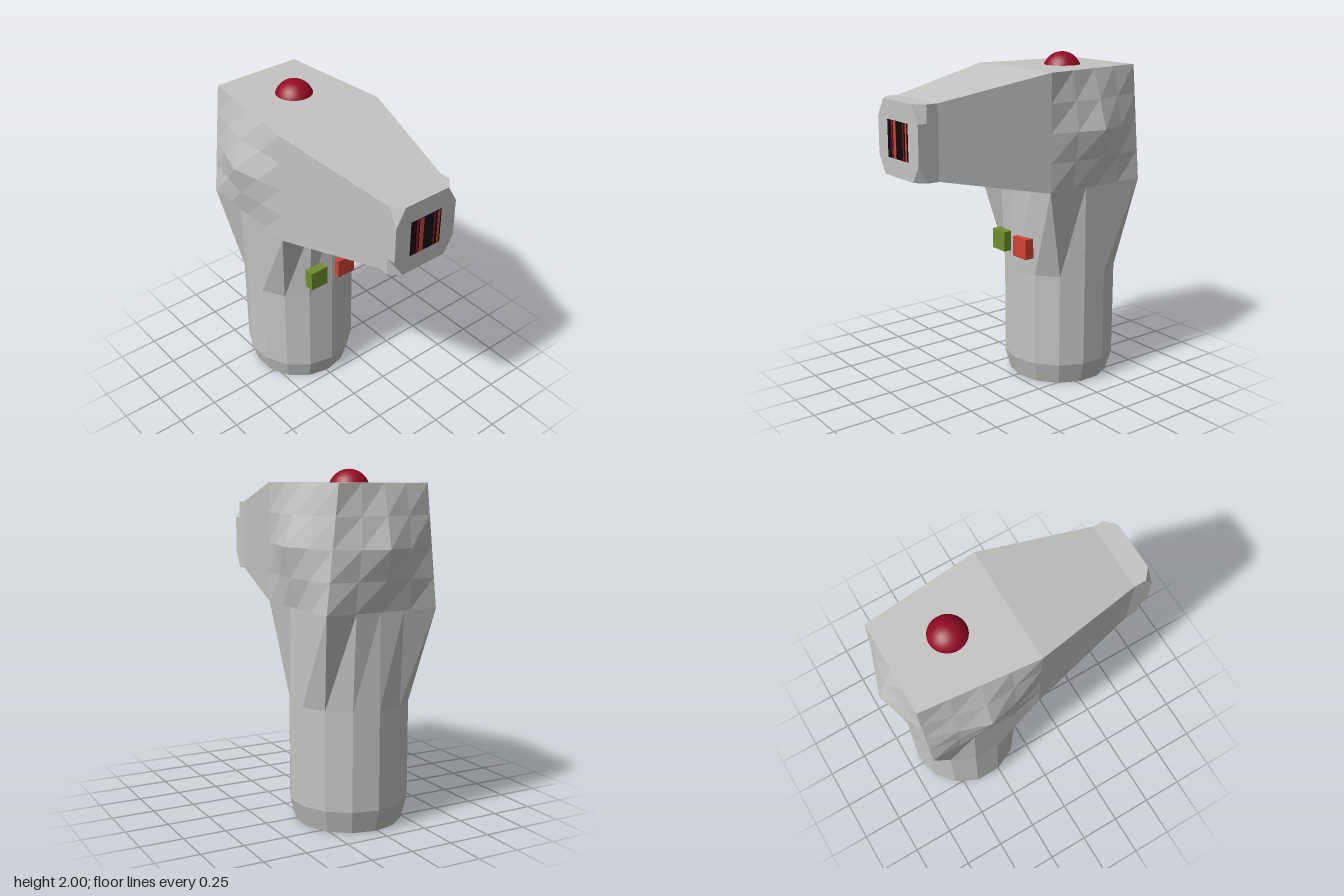
import * as THREE from 'three';

const grey = new THREE.MeshStandardMaterial({ color: 0xc4c4c2 }); grey.name = 'shell grey';
const crimson = new THREE.MeshStandardMaterial({ color: 0x940a24 }); crimson.name = 'crimson';
const red = new THREE.MeshStandardMaterial({ color: 0xd04234 }); red.name = 'button red';
const green = new THREE.MeshStandardMaterial({ color: 0x6e8e2e }); green.name = 'button green';
const black = new THREE.MeshStandardMaterial({ color: 0x0c0c0c }); black.name = 'aperture black';

const CX = 0.015, CZ = -0.343, HALF = 0.345, BACK = -0.685, BASE = 1.24, TOP = 1.925;

// Flat-faceted geometry from a list of corner points, three per triangle
function facets(points) {
  const g = new THREE.BufferGeometry();
  g.setAttribute('position', new THREE.Float32BufferAttribute(points.flat(), 3));
  g.computeVertexNormals();
  return g;
}

// Skin through rings of equal length, with optional flat caps
function loft(rings, capStart, capEnd) {
  const pts = [], n = rings[0].length;
  for (let r = 0; r < rings.length - 1; r++) {
    for (let i = 0; i < n; i++) {
      const j = (i + 1) % n, a = rings[r], b = rings[r + 1];
      pts.push(a[i], a[j], b[j], a[i], b[j], b[i]);
    }
  }
  const first = rings[0], last = rings[rings.length - 1];
  for (let i = 1; i < n - 1; i++) {
    if (capStart) pts.push(first[0], first[i + 1], first[i]);
    if (capEnd) pts.push(last[0], last[i], last[i + 1]);
  }
  return facets(pts);
}

// Four-cornered panel whose middle is pushed out along a vector
function panel(bl, br, tr, tl, push = [0, 0, 0], n = 4) {
  const at = (i, j) => {
    const u = i / n, v = j / n;
    const k = (1 - Math.abs(2 * u - 1)) * (1 - Math.abs(2 * v - 1));
    return [0, 1, 2].map(c => (bl[c] * (1 - u) + br[c] * u) * (1 - v)
      + (tl[c] * (1 - u) + tr[c] * u) * v + push[c] * k);
  };
  const pts = [];
  for (let i = 0; i < n; i++) {
    for (let j = 0; j < n; j++) {
      const a = at(i, j), b = at(i + 1, j), c = at(i + 1, j + 1), d = at(i, j + 1);
      pts.push(a, b, c, a, c, d);
    }
  }
  return facets(pts);
}

export function createModel() {
  const group = new THREE.Group();
  const add = (name, geometry, material, x = 0, y = 0, z = 0) => {
    const m = new THREE.Mesh(geometry, material);
    m.name = name;
    m.position.set(x, y, z);
    group.add(m);
  };

  // Fourteen-sided grip that widens into a square collar
  const SIDES = 14;
  const angles = Array.from({ length: SIDES }, (_, i) => (i + 0.5) * 2 * Math.PI / SIDES);
  const round = (y, r) => angles.map(a => [CX + r * Math.cos(a), y, CZ - r * Math.sin(a)]);
  const collar = round(BASE, HALF).map(([x, y, z], i) => {
    const c = Math.cos(angles[i]), s = Math.sin(angles[i]);
    const corner = [1, 5, 8, 12].includes(i);
    return [
      corner || Math.abs(c) > Math.abs(s) ? Math.sign(c) * HALF : x, y,
      corner || Math.abs(s) > Math.abs(c) ? (s > 0 ? BACK : 0) : z,
    ];
  });
  add('grip', loft([round(0, 0.308), round(0.13, HALF), round(0.7, HALF)], true, false), grey);
  add('gripCollar', loft([round(0.7, HALF), collar], false, true), grey);

  // Head: bulging sides and back, narrowing towards the rear at the top
  const rearTop = 0.275;
  const p = (x, y, z) => [x, y, z];
  add('headBack', panel(p(HALF, BASE, BACK), p(-HALF, BASE, BACK),
    p(-rearTop, TOP, BACK), p(rearTop, TOP, BACK), [CX, 0, -0.1]), grey);
  add('headLeftSide', panel(p(HALF, BASE, 0), p(HALF, BASE, BACK),
    p(rearTop, TOP, BACK), p(HALF, TOP, 0), [0.095, 0, 0]), grey);
  add('headRightSide', panel(p(-HALF, BASE, BACK), p(-HALF, BASE, 0),
    p(-HALF, TOP, 0), p(-rearTop, TOP, BACK), [-0.095, 0, 0]), grey);
  add('headTop', panel(p(-HALF, TOP, 0), p(HALF, TOP, 0),
    p(rearTop, TOP, BACK), p(-rearTop, TOP, BACK), undefined, 1), grey);

  // Tapered barrel with notched front corners
  const section = (hx, y0, y1, z, inset = 0) => {
    const d = (y1 - y0) * 0.24, cx = hx - inset;
    return [
      [hx, y0 + d, z], [hx, y1 - d, z], [cx, y1, z], [-cx, y1, z],
      [-hx, y1 - d, z], [-hx, y0 + d, z], [-cx, y0, z], [cx, y0, z],
    ];
  };
  add('barrel', loft([
    section(HALF, BASE, TOP, 0),
    section(0.208, 1.375, 1.797, 0.66),
    section(0.208, 1.375, 1.797, 0.73),
    section(0.208, 1.375, 1.797, 0.785, 0.06),
  ], false, true), grey);

  // Square aperture with thin glowing bars
  add('aperture', new THREE.BoxGeometry(0.21, 0.21, 0.004), black, 0, 1.583, 0.785);
  const bars = [[-0.058, 0.012, crimson], [-0.03, 0.026, red], [0.06, 0.01, crimson], [0.088, 0.014, red]];
  for (const [x, w, material] of bars) {
    add('apertureBar', new THREE.BoxGeometry(w, 0.208, 0.004), material, x, 1.583, 0.787);
  }

  // Dome light on the head
  add('domeLight', new THREE.SphereGeometry(0.116, 40, 28), crimson, 0.017, 1.884, -0.345);

  // Buttons on the front of the grip
  const button = new THREE.BoxGeometry(0.122, 0.122, 0.06);
  add('greenButton', button, green, -0.108, 0.87, 0.007);
  add('redButton', button, red, 0.1, 0.867, 0.007);

  return group;
}
